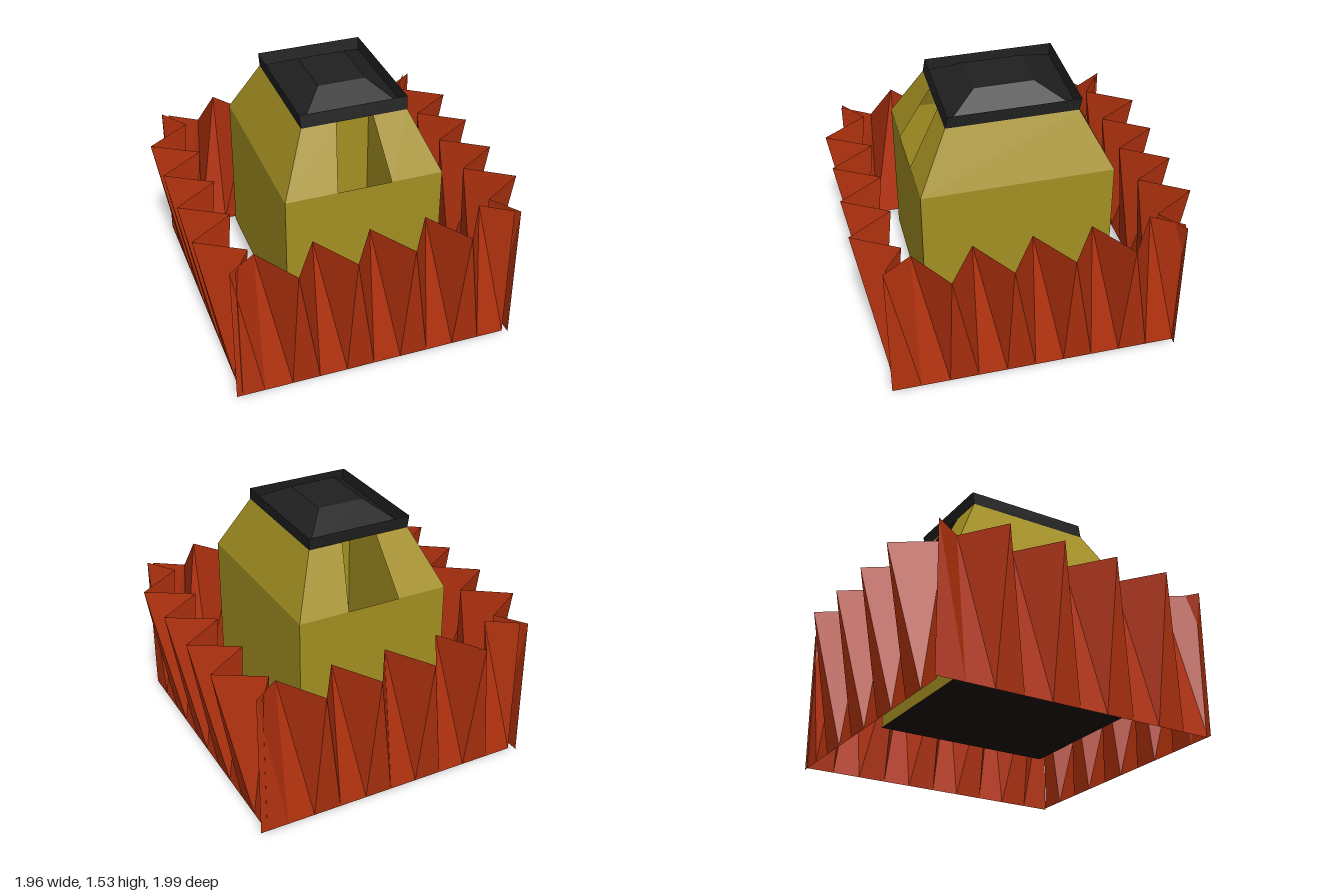
import * as THREE from 'three';

const paint = color => new THREE.MeshStandardMaterial({ color, side: THREE.DoubleSide, flatShading: true });

// Thin faceted mesh from quads; each quad is split along its first-to-third corner
function quadMesh(name, quads, material) {
  const points = quads.flatMap(([a, b, c, d]) => [a, b, c, a, c, d]);
  const geometry = new THREE.BufferGeometry();
  geometry.setAttribute('position', new THREE.Float32BufferAttribute(points.flat(), 3));
  geometry.computeVertexNormals();
  const mesh = new THREE.Mesh(geometry, material);
  mesh.name = name;
  return mesh;
}

// Level rectangle, counter-clockwise from above, starting at the front
const rect = (x0, x1, z0, z1, y) => [[x0, y, z1], [x1, y, z1], [x1, y, z0], [x0, y, z0]];

// Wall between two rectangles on the chosen sides (0 front, 1 +x, 2 back, 3 -x)
const walls = (low, high, sides = [0, 1, 2, 3]) => sides.map(i => {
  const j = (i + 1) % 4;
  return [low[i], low[j], high[j], high[i]];
});

// Pleated sheet facing +z: straight hem, zigzag top edge
function pleatedPanel(name, length, material) {
  const folds = 10;
  const x = i => (i / folds - 0.5) * length;
  const top = i => {
    if (i === 0 || i === folds) return [x(i), 0.89, 0];
    return i % 2 ? [x(i), 0.89, -0.117] : [x(i), 0.883, 0.148];
  };
  const quads = [];
  for (let i = 0; i < folds; i++) {
    quads.push([top(i), [x(i), 0, 0], [x(i + 1), 0, 0], top(i + 1)]);
  }
  return quadMesh(name, quads, material);
}

export function createModel() {
  const model = new THREE.Group();
  const red = paint(0xb5330f);
  const yellow = paint(0xa59022);
  const black = paint(0x202020);
  const brown = paint(0x201010);

  // Pleated skirt: one panel per side, each turned a quarter further
  const panels = [
    ['frontSkirt', 1.665, -0.033, 0.845],
    ['leftSkirt', 1.715, 0.83, 0.005],
    ['backSkirt', 1.665, 0.033, -0.85],
    ['rightSkirt', 1.73, -0.835, -0.013],
  ];
  panels.forEach(([name, length, x, z], i) => {
    const panel = pleatedPanel(name, length, red);
    panel.position.set(x, 0, z);
    panel.rotation.y = i * Math.PI / 2;
    model.add(panel);
  });

  // Tower: upright lower walls, then walls leaning inward
  const base = rect(-0.47, 0.46, -0.545, 0.58, 0.2);
  const sill = rect(-0.47, 0.46, -0.545, 0.58, 1.065);
  const eave = rect(-0.315, 0.31, -0.37, 0.4, 1.405);
  model.add(quadMesh('towerBase', walls(base, sill), yellow));
  model.add(quadMesh('towerSides', walls(sill, eave, [1, 3]), yellow));
  model.add(quadMesh('towerFloor', [base], brown));

  // Front and back leaning walls, leaving a tapered opening in the middle
  const piers = [];
  for (const i of [0, 2]) {
    const a = sill[i], b = sill[i + 1], c = eave[i + 1], d = eave[i];
    const [low0, low1] = i ? [0.155, -0.165] : [-0.165, 0.155];
    const [high0, high1] = i ? [0.105, -0.11] : [-0.11, 0.105];
    piers.push([a, [low0, a[1], a[2]], [high0, d[1], d[2]], d]);
    piers.push([[low1, b[1], b[2]], b, c, [high1, c[1], c[2]]]);
  }
  model.add(quadMesh('windowPiers', piers, yellow));

  // Roof: low truncated pyramid inside a thin upright rim
  const rimTop = rect(-0.318, 0.315, -0.382, 0.385, 1.48);
  const crown = rect(-0.145, 0.137, -0.152, 0.195, 1.53);
  model.add(quadMesh('roofRim', walls(eave, rimTop), black));
  model.add(quadMesh('roof', [...walls(eave, crown), crown], black));

  return model;
}
